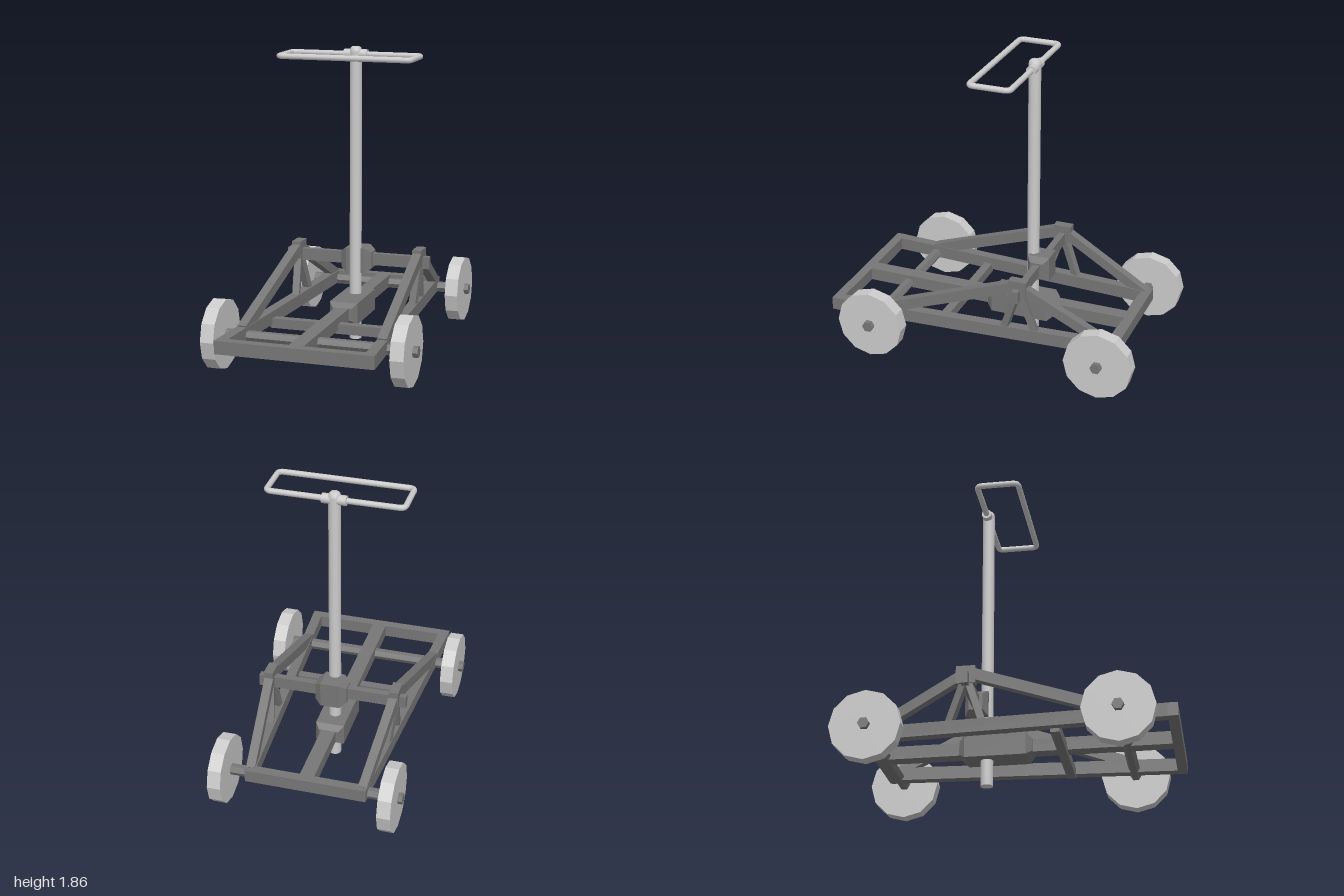
import * as THREE from 'three';
import { ConvexGeometry } from 'three/addons/geometries/ConvexGeometry.js';

const V = (x, y, z) => new THREE.Vector3(x, y, z);
const light = new THREE.MeshStandardMaterial({ color: 0xcccccc });
const lightFlat = new THREE.MeshStandardMaterial({ color: 0xcccccc, flatShading: true });
const dark = new THREE.MeshStandardMaterial({ color: 0x777777, flatShading: true });

export function createModel() {
  const group = new THREE.Group();

  const add = (name, geometry, material, x = 0, y = 0, z = 0) => {
    const mesh = new THREE.Mesh(geometry, material);
    mesh.name = name;
    mesh.position.set(x, y, z);
    group.add(mesh);
    return mesh;
  };
  const box = (name, w, h, d, x, y, z) => add(name, new THREE.BoxGeometry(w, h, d), dark, x, y, z);

  // Rectangular bar running from a to b
  const beam = (name, a, b, w, h) => {
    const mesh = box(name, w, h, a.distanceTo(b), 0, 0, 0);
    mesh.position.copy(a).add(b).multiplyScalar(0.5);
    mesh.lookAt(b);
    return mesh;
  };
  // Cylinder lying along x
  const rod = (name, r, length, sides, material, x, y, z) => {
    const mesh = add(name, new THREE.CylinderGeometry(r, r, length, sides), material, x, y, z);
    mesh.rotation.z = Math.PI / 2;
    return mesh;
  };
  // Block whose two ends along z taper to a smaller face
  const taperedBlock = (name, w, h, d, taper, inset, x, y, z) => {
    const points = [];
    for (const sx of [-1, 1]) for (const sy of [-1, 1]) for (const sz of [-1, 1]) {
      points.push(V(sx * w / 2, sy * h / 2, sz * (d / 2 - taper)));
      points.push(V(sx * (w / 2 - inset), sy * (h / 2 - inset), sz * d / 2));
    }
    return add(name, new ConvexGeometry(points), dark, x, y, z);
  };

  // Flat chassis
  box('frontBar', 0.965, 0.08, 0.06, 0, 0.228, 0.97);
  box('rearBar', 0.75, 0.08, 0.06, 0, 0.228, -0.82);
  box('centerBeam', 0.09, 0.08, 1.75, 0, 0.228, 0.075);
  box('crossBar', 0.79, 0.06, 0.055, 0, 0.195, 0.29);
  taperedBlock('steeringBox', 0.18, 0.135, 0.44, 0.035, 0.028, 0, 0.228, -0.11);

  // Raised bar with its hub
  box('upperBar', 0.94, 0.075, 0.042, 0, 0.513, -0.228);
  const hub = taperedBlock('upperHub', 0.14, 0.16, 0.2, 0.04, 0.028, 0, 0.51, -0.228);
  hub.rotation.y = Math.PI / 2;

  // Side rails, trusses and braces
  for (const s of [-1, 1]) {
    beam('sideRail', V(s * 0.346, 0.228, -0.84), V(s * 0.451, 0.228, 0.99), 0.063, 0.081);
    box('trussBlock', 0.058, 0.11, 0.115, s * 0.4, 0.545, -0.228);
    beam('frontStrut', V(s * 0.4, 0.555, -0.2), V(s * 0.433, 0.245, 0.68), 0.057, 0.068);
    beam('rearStrut', V(s * 0.4, 0.545, -0.25), V(s * 0.35, 0.245, -0.8), 0.055, 0.06);
    beam('frontBrace', V(s * 0.4, 0.5, -0.215), V(s * 0.388, 0.24, -0.13), 0.045, 0.042);
    beam('rearBrace', V(s * 0.4, 0.5, -0.24), V(s * 0.378, 0.24, -0.335), 0.045, 0.042);
  }

  // Axles and wheels
  const axles = [
    { label: 'front', z: 0.675, half: 0.65, wheelX: 0.577 },
    { label: 'rear', z: -0.787, half: 0.592, wheelX: 0.522 },
  ];
  for (const { label, z, half, wheelX } of axles) {
    rod(label + 'Axle', 0.035, half * 2, 6, dark, 0, 0.213, z);
    for (const s of [-1, 1]) rod(label + 'Wheel', 0.213, 0.083, 12, lightFlat, s * wheelX, 0.213, z);
  }

  // Steering post with a rounded cap
  const profile = [[0, 0], [0.038, 0], [0.038, 0], [0.038, 1.835], [0.038, 1.835], [0.034, 1.852], [0.024, 1.862], [0, 1.864]];
  add('steeringPost', new THREE.LatheGeometry(profile.map(([x, y]) => new THREE.Vector2(x, y)), 16), light, 0, 0, -0.172);

  // Rounded rectangular handle loop
  const loop = new THREE.CurvePath();
  const w = 0.418, back = -0.175, front = 0.08, r = 0.035, y = 1.815;
  const corners = [V(w, y, back), V(w, y, front), V(-w, y, front), V(-w, y, back)];
  const toward = (a, b) => a.clone().add(b.clone().sub(a).setLength(r));
  corners.forEach((c, i) => {
    const prev = corners[(i + 3) % 4], next = corners[(i + 1) % 4];
    loop.add(new THREE.QuadraticBezierCurve3(toward(c, prev), c, toward(c, next)));
    loop.add(new THREE.LineCurve3(toward(c, next), toward(next, c)));
  });
  add('handle', new THREE.TubeGeometry(loop, 240, 0.018, 10, true), light);

  // Collar joining handle to post
  rod('handleCollar', 0.031, 0.15, 12, light, 0, y, back);

  return group;
}
